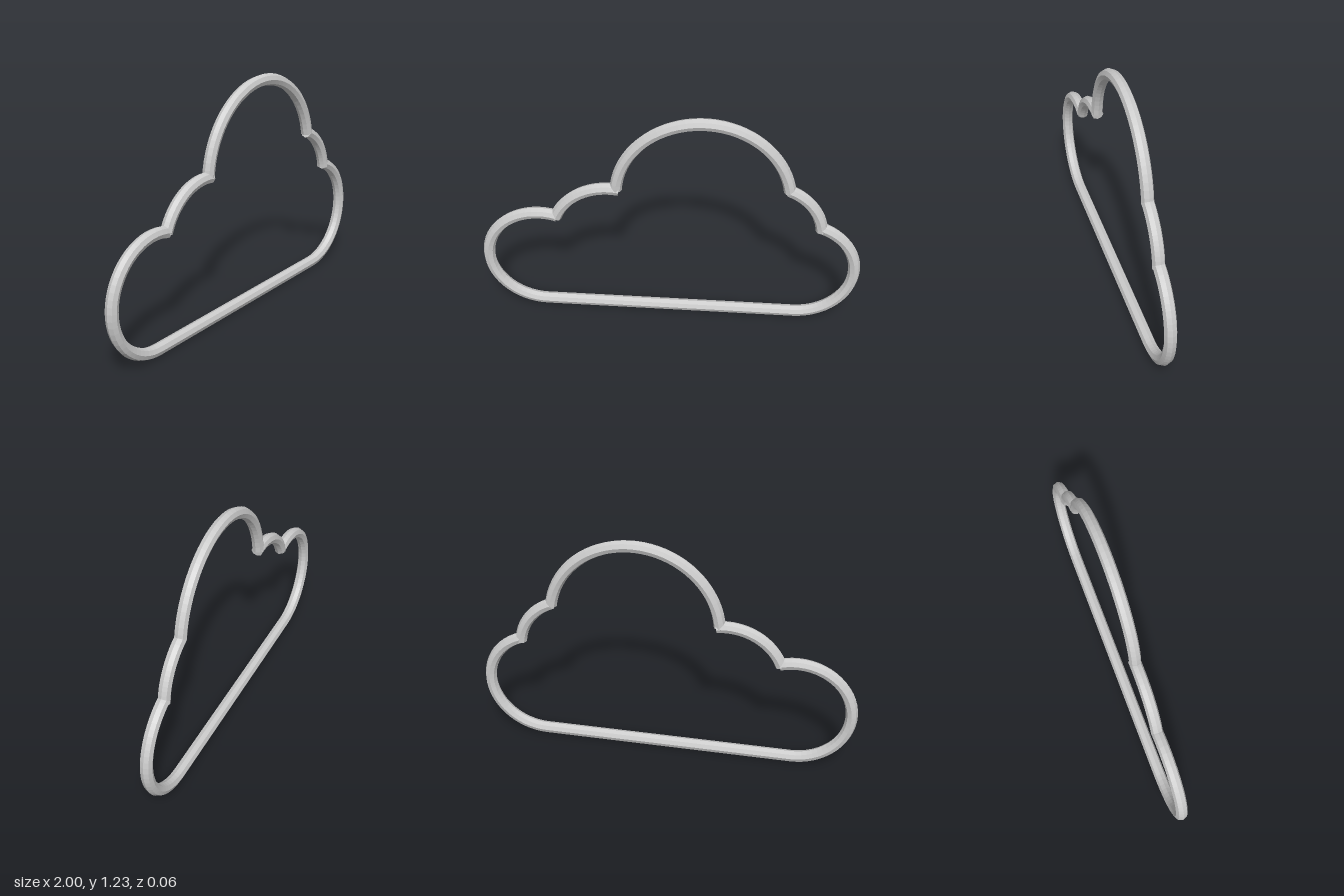
import * as THREE from 'three';

const R = 0.031;   // tube radius
const SIDES = 8;   // octagonal section

// Circular arc in the front plane, angles in degrees
class Arc extends THREE.Curve {
  constructor(cx, cy, r, from, to) {
    super();
    Object.assign(this, { cx, cy, r, from, to });
  }
  getPoint(t, target = new THREE.Vector3()) {
    const a = THREE.MathUtils.degToRad(this.from + (this.to - this.from) * t);
    return target.set(this.cx + this.r * Math.cos(a), this.cy + this.r * Math.sin(a), 0);
  }
}

export function createModel() {
  const group = new THREE.Group();
  group.name = 'cloudOutline';
  const material = new THREE.MeshStandardMaterial({
    color: 0xcccccc, flatShading: true, side: THREE.DoubleSide,
  });

  // Flat octagonal cap closing a tube end, facing along dir
  function addCap(parent, point, dir) {
    const z = new THREE.Vector3(0, 0, 1);
    const cap = new THREE.Mesh(new THREE.CircleGeometry(R, SIDES), material);
    cap.name = 'endCap';
    cap.applyMatrix4(new THREE.Matrix4()
      .makeBasis(z.clone().cross(dir), z.clone().negate(), dir.clone().negate())
      .setPosition(point));
    parent.add(cap);
  }

  // One tube section, with caps where it ends at a notch
  function addTube(name, curve, segments, capStart, capEnd) {
    const mesh = new THREE.Mesh(new THREE.TubeGeometry(curve, segments, R, SIDES, false), material);
    mesh.name = name;
    if (capStart) addCap(mesh, curve.getPoint(0), curve.getTangent(0).negate());
    if (capEnd) addCap(mesh, curve.getPoint(1), curve.getTangent(1));
    group.add(mesh);
  }

  // Lobes, clockwise from the lower left
  const leftLobe = new Arc(-0.675, 0.333, 0.294, 270, 72);
  const rightLobe = new Arc(0.672, 0.333, 0.297, 70, -90);
  addTube('leftLobe', leftLobe, 32, false, true);
  addTube('leftShoulder', new Arc(-0.31, 0.499, 0.301, 159, 80), 16, true, true);
  addTube('crown', new Arc(0.165, 0.761, 0.439, 175, 9), 36, true, true);
  addTube('rightShoulder', new Arc(0.485, 0.565, 0.293, 68, 6), 14, true, true);
  addTube('rightLobe', rightLobe, 28, true, false);

  // Straight base joining the two outer lobes
  addTube('base', new THREE.LineCurve3(rightLobe.getPoint(1), leftLobe.getPoint(0)), 1, false, false);

  return group;
}
